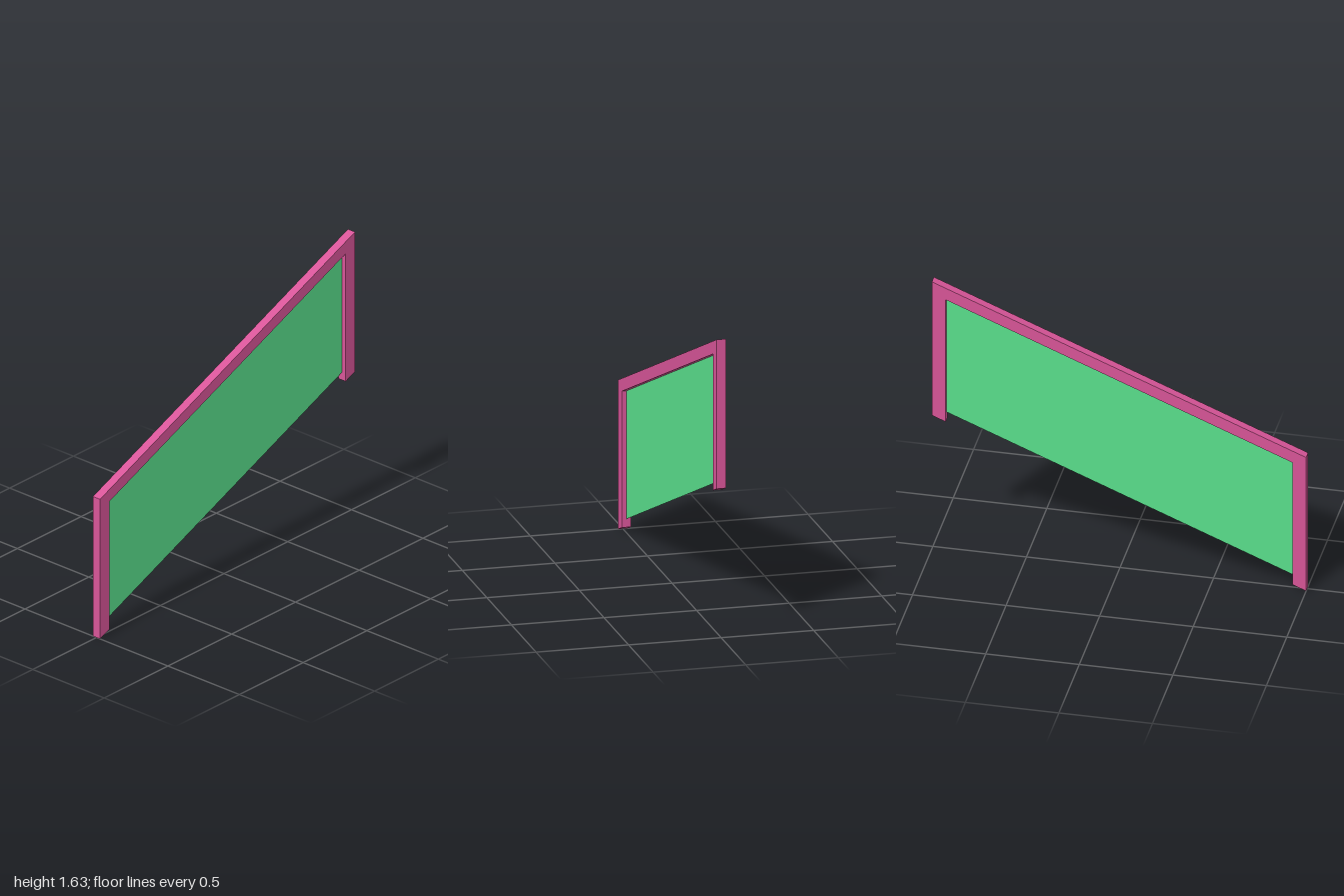
import * as THREE from 'three';

const SLOPE = 0.4075;   // rise per unit of x
const HEIGHT = 0.815;   // upright height of the frame
const DEPTH = 0.05;
const INNER_X = 0.926;  // inside edge of the posts
const INNER_Y = 0.745;  // underside of the rail, before the slope
const PANEL_Y = 0.045;  // lower edge of the panel, before the slope

// Outline in level coordinates, sheared to follow the slope
function slopedShape(points) {
  return new THREE.Shape(points.map(([x, y]) => new THREE.Vector2(x, y + SLOPE * (x + 1))));
}

export function createModel() {
  const model = new THREE.Group();
  model.name = 'slopedRailing';
  const frameMaterial = new THREE.MeshStandardMaterial({ color: 0xd85598 });
  frameMaterial.name = 'pinkFrame';
  const panelMaterial = new THREE.MeshStandardMaterial({ color: 0x5adf8c });
  panelMaterial.name = 'greenPanel';
  panelMaterial.side = THREE.DoubleSide;

  function add(name, geometry, material) {
    const mesh = new THREE.Mesh(geometry, material);
    mesh.name = name;
    model.add(mesh);
  }
  function addBar(name, points) {
    const geometry = new THREE.ExtrudeGeometry(slopedShape(points), { depth: DEPTH, bevelEnabled: false });
    geometry.translate(0, 0, -DEPTH / 2);
    add(name, geometry, frameMaterial);
  }

  // Upright posts, mitred into the rail
  for (const [name, s] of [['rightPost', -1], ['leftPost', 1]]) {
    addBar(name, [[s, 0], [s, HEIGHT], [s * INNER_X, INNER_Y], [s * INNER_X, 0]]);
  }

  // Sloping top rail
  addBar('topRail', [[-1, HEIGHT], [-INNER_X, INNER_Y], [INNER_X, INNER_Y], [1, HEIGHT]]);

  // Thin infill panel, centred in the frame
  add('panel', new THREE.ShapeGeometry(slopedShape([
    [-INNER_X, PANEL_Y], [INNER_X, PANEL_Y], [INNER_X, INNER_Y], [-INNER_X, INNER_Y],
  ])), panelMaterial);

  return model;
}
